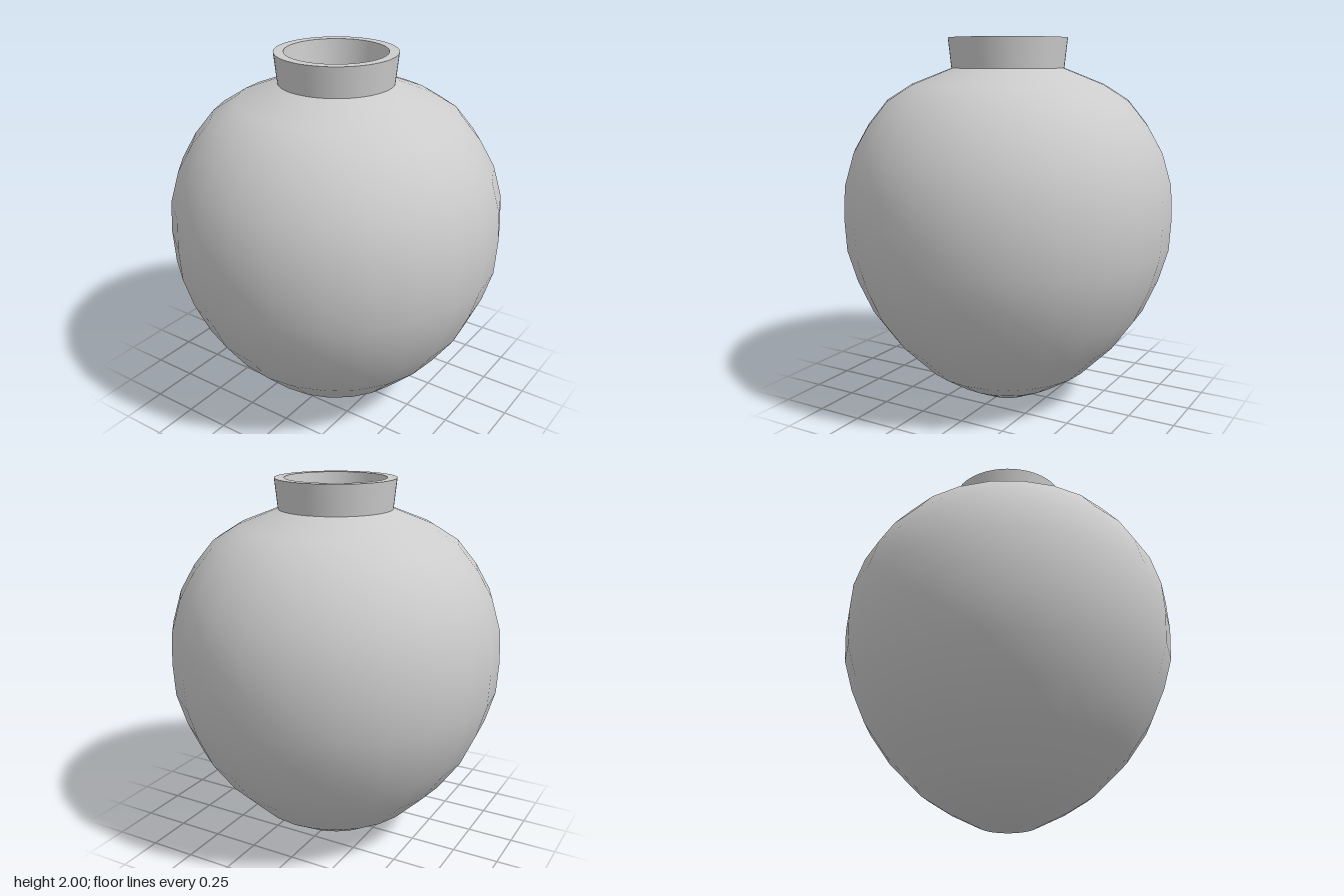
import * as THREE from 'three';
import { mergeGeometries } from 'three/addons/utils/BufferGeometryUtils.js';

const toPoints = (pairs) => pairs.map(([r, y]) => new THREE.Vector2(r, y));

// Revolves each profile segment on its own, so the corners stay sharp
function sharpLathe(pairs, sides) {
  const points = toPoints(pairs);
  const bands = [];
  for (let i = 0; i < points.length - 1; i++) {
    bands.push(new THREE.LatheGeometry([points[i], points[i + 1]], sides));
  }
  return mergeGeometries(bands);
}

export function createModel() {
  const group = new THREE.Group();
  group.name = 'vase';
  const material = new THREE.MeshStandardMaterial({ color: 0xcccccc });

  const add = (name, geometry) => {
    const mesh = new THREE.Mesh(geometry, material);
    mesh.name = name;
    group.add(mesh);
  };

  // Bulging body with a small flat foot, 24 sides
  add('body', new THREE.LatheGeometry(toPoints([
    [0, 0], [0.15, 0.005], [0.32, 0.09], [0.46, 0.18], [0.64, 0.36],
    [0.76, 0.53], [0.84, 0.71], [0.89, 0.88], [0.9, 1.06], [0.89, 1.23],
    [0.84, 1.4], [0.76, 1.54], [0.655, 1.67], [0.52, 1.755], [0.305, 1.84],
  ]), 24));

  // Flared neck: outer wall, flat rim, tapering inner wall and floor
  add('neck', sharpLathe([
    [0.305, 1.84], [0.322, 2], [0.27, 2], [0.215, 1.45], [0, 1.45],
  ], 64));

  return group;
}
